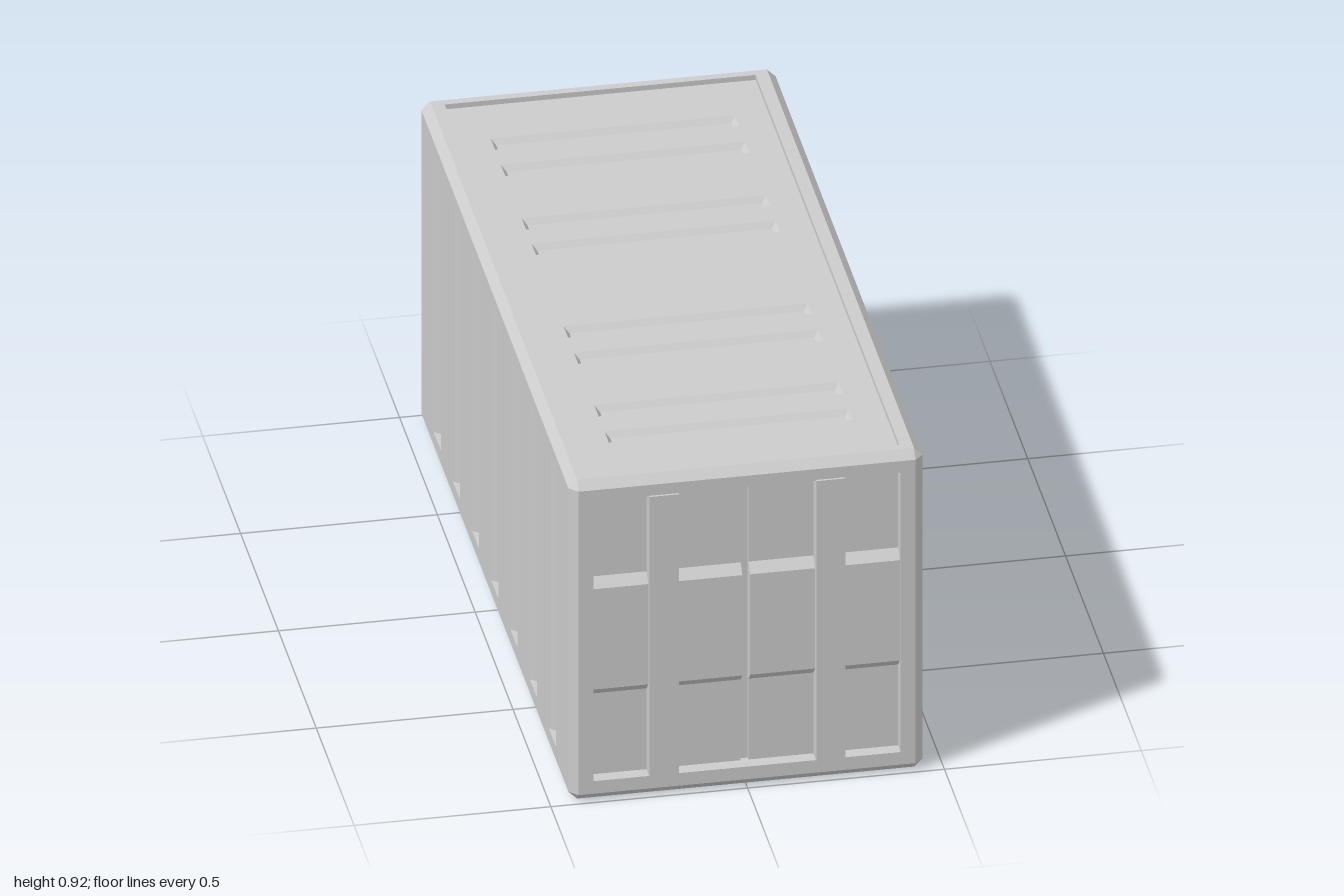
import * as THREE from 'three';

const HX = 0.45, HY = 0.4575, HZ = 0.994, C = 0.022; // half sizes and edge chamfer

// Flat-shaded geometry from quads (4 points) and triangles (3 points)
function polygons(list) {
  const pos = [];
  for (const p of list) {
    for (let i = 1; i < p.length - 1; i++) pos.push(...p[0], ...p[i], ...p[i + 1]);
  }
  const g = new THREE.BufferGeometry();
  g.setAttribute('position', new THREE.Float32BufferAttribute(pos, 3));
  g.computeVertexNormals();
  return g;
}

// Flip a polygon so that it faces away from the centre
function outward(p) {
  const [a, b, c] = p.map((q) => new THREE.Vector3(...q));
  const n = b.clone().sub(a).cross(c.clone().sub(a));
  return n.dot(a) < 0 ? p.slice().reverse() : p;
}

// Bevelled strips along the twelve edges and triangles on the eight corners
function chamferGeometry() {
  const h = [HX, HY, HZ];
  const point = (s, axis) => h.map((v, i) => s[i] * (i === axis ? v : v - C));
  const faces = [];
  for (const i of [-1, 1]) for (const j of [-1, 1]) {
    for (const k of [-1, 1]) {
      const s = [i, j, k];
      faces.push(outward([0, 1, 2].map((a) => point(s, a))));
    }
    for (let a = 0; a < 3; a++) {
      const b = (a + 1) % 3, c = (a + 2) % 3;
      const s = [], t = [];
      s[a] = 1; t[a] = -1;
      s[b] = t[b] = i;
      s[c] = t[c] = j;
      faces.push(outward([point(s, b), point(t, b), point(t, c), point(s, c)]));
    }
  }
  return polygons(faces);
}

const rect = (Type, x, y, w, h) => new Type([
  [-1, -1], [1, -1], [1, 1], [-1, 1],
].map(([i, j]) => new THREE.Vector2(x + i * w / 2, y + j * h / 2)));

// Flat sheet facing +z with rectangular openings
function sheet(w, h, holes, y = 0) {
  const s = rect(THREE.Shape, 0, y, w, h);
  for (const o of holes) s.holes.push(rect(THREE.Path, o.x, o.y, o.w, o.h));
  return new THREE.ShapeGeometry(s);
}

// Pressed recess facing +z; ix and iy slope the walls inward
function trough({ x, y, w, h, depth, ix = 0, iy = 0, open = false }) {
  const ring = (dx, dy, z) => [[-1, -1], [1, -1], [1, 1], [-1, 1]]
    .map(([i, j]) => [x + i * (w / 2 - dx), y + j * (h / 2 - dy), z]);
  const top = ring(0, 0, 0), low = ring(ix, iy, -depth);
  const faces = open ? [] : [low];
  for (let i = 0; i < 4; i++) {
    const n = (i + 1) % 4;
    faces.push([top[i], top[n], low[n], low[i]]);
  }
  return polygons(faces);
}

export function createModel() {
  const model = new THREE.Group();
  model.name = 'cargoContainer';
  const steel = new THREE.MeshStandardMaterial({ color: 0xcccccc });
  steel.name = 'greySteel';

  const add = (parent, name, geometry) => {
    const mesh = new THREE.Mesh(geometry, steel);
    mesh.name = name;
    parent.add(mesh);
    return mesh;
  };
  const side = (name) => {
    const g = new THREE.Group();
    g.name = name;
    model.add(g);
    return g;
  };
  const W = 2 * (HX - C), H = 2 * (HY - C), L = 2 * (HZ - C);

  add(model, 'chamferedEdges', chamferGeometry()).position.y = HY;

  // Long walls with seven vertical grooves
  for (const s of [-1, 1]) {
    const wall = side(s > 0 ? 'leftWall' : 'rightWall');
    const grooves = [];
    for (let i = -3; i <= 3; i++) {
      grooves.push({ x: i * 0.254, y: 0.005, w: 0.094, h: 0.806, depth: 0.025, ix: 0.021 });
    }
    add(wall, 'wallPanel', sheet(L, H, grooves));
    for (const g of grooves) add(wall, 'wallGroove', trough(g));
    wall.position.set(s * HX, HY, 0);
    wall.rotation.y = s * Math.PI / 2;
  }

  // Roof: raised rim around a sunken panel with paired grooves
  const roof = side('roof');
  const roofRecess = { x: 0, y: 0, w: 0.79, h: 1.9, depth: 0.014, open: true };
  add(roof, 'roofRim', sheet(W, L, [roofRecess]));
  add(roof, 'roofRimInside', trough(roofRecess));
  const roofGrooves = [-0.755, -0.62, -0.345, -0.215, 0.21, 0.345, 0.615, 0.75]
    .map((z) => ({ x: 0, y: -z, w: 0.62, h: 0.058, depth: 0.014, ix: 0.012, iy: 0.014 }));
  add(roof, 'roofPanel', sheet(0.79, 1.9, roofGrooves)).position.z = -0.014;
  for (const g of roofGrooves) add(roof, 'roofGroove', trough(g)).position.z = -0.014;
  roof.position.y = 2 * HY;
  roof.rotation.x = -Math.PI / 2;

  // Underside with a sunken floor
  const base = side('underside');
  const floorRecess = { x: 0, y: 0, w: 0.79, h: 1.9, depth: 0.03 };
  add(base, 'baseRim', sheet(W, L, [floorRecess]));
  add(base, 'floorPan', trough(floorRecess));
  base.rotation.x = Math.PI / 2;

  // Door leaf cross-section: (z, y) with a raised middle band
  const y0 = 0.058 - HY, y1 = 0.86 - HY;
  const leafShape = new THREE.Shape([
    [-0.05, y0], [-0.035, y0], [-0.035, 0.29 - HY], [-0.012, 0.314 - HY],
    [-0.012, 0.602 - HY], [-0.035, 0.626 - HY], [-0.035, y1], [-0.05, y1],
  ].map(([z, y]) => new THREE.Vector2(z, y)));
  const leaf = new THREE.ExtrudeGeometry(leafShape, { depth: 0.38, bevelEnabled: false });
  leaf.rotateY(-Math.PI / 2);

  // Both ends: frame, two door leaves and upright locking bars
  for (const s of [1, -1]) {
    const end = side(s > 0 ? 'frontDoors' : 'backDoors');
    const opening = { x: 0, y: (y0 + y1) / 2, w: 0.78, h: y1 - y0, depth: 0.045 };
    add(end, 'doorFrame', sheet(W, H, [opening]));
    add(end, 'doorOpening', trough(opening));
    for (const m of [-1, 1]) {
      add(end, 'doorLeaf', leaf).position.x = m > 0 ? 0.39 : -0.01;
      add(end, 'doorBar', new THREE.BoxGeometry(0.074, 0.806, 0.044))
        .position.set(m * 0.212, opening.y, -0.016);
    }
    end.position.set(0, HY, s * HZ);
    end.rotation.y = s > 0 ? 0 : Math.PI;
  }
  return model;
}
